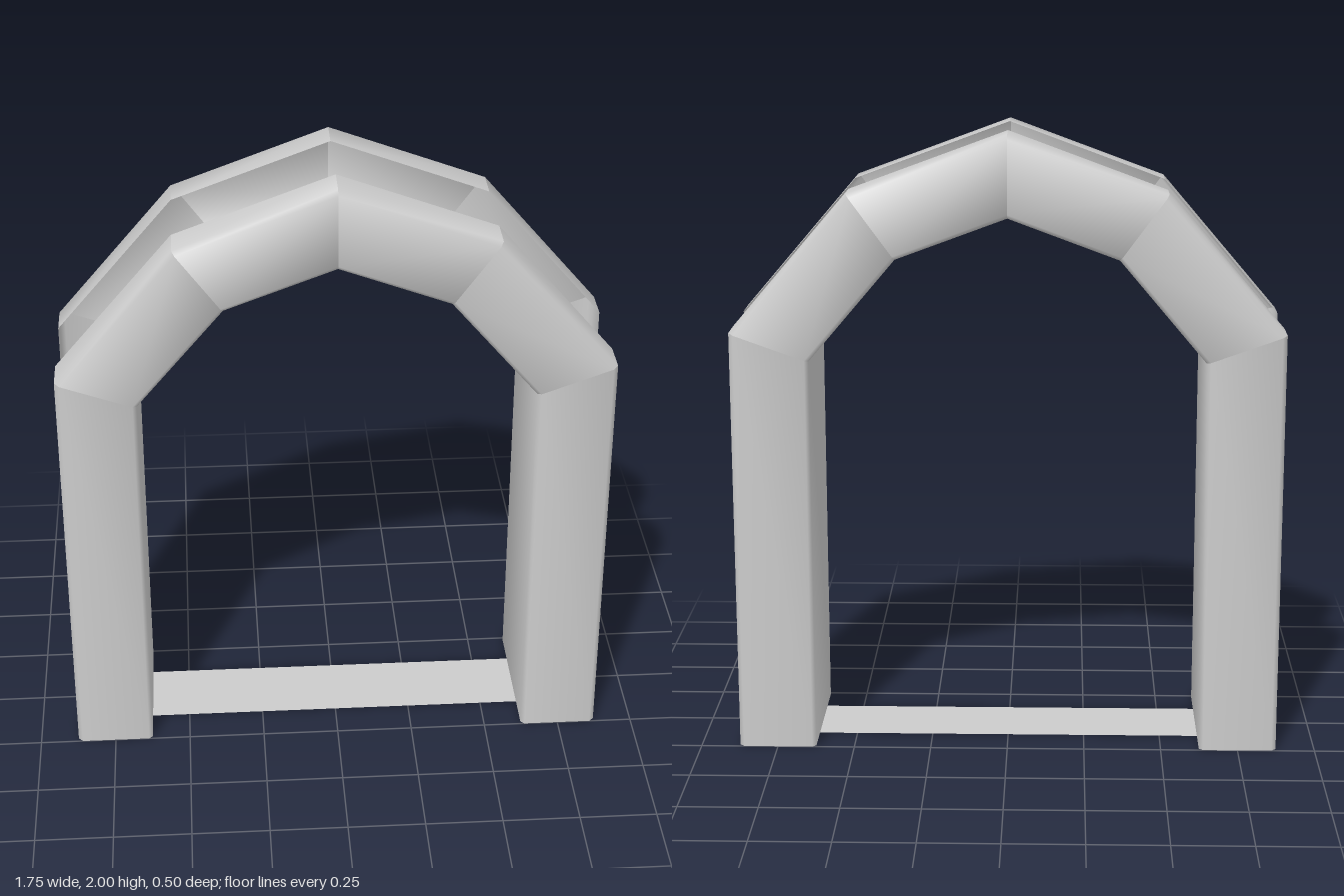
import * as THREE from 'three';
import { mergeGeometries, toCreasedNormals } from 'three/addons/utils/BufferGeometryUtils.js';

// Matching bends of the outer and inner outline, left foot to right foot
const mirror = (half) => [...half, ...half.slice(0, -1).reverse().map(([x, y]) => [-x, y])];
const OUTER = mirror([[0.875, 0], [0.875, 1.375], [0.5, 1.815], [0, 2]]);
const INNER = mirror([[0.625, 0], [0.625, 1.285], [0.35, 1.61], [0, 1.74]]);

// Channel section: t runs from outer (0) to inner (1) outline, paired with z
const HALF = [[0, 0.125], [0, 0.235], [0.06, 0.25], [0.95, 0.25], [1, 0.238]];
const SECTION = [...HALF, ...HALF.slice().reverse().map(([t, z]) => [t, -z])];

// One straight length of channel between bends i and i + 1
function channelSegment(i) {
  const point = (k, [t, z]) => [
    THREE.MathUtils.lerp(OUTER[k][0], INNER[k][0], t),
    THREE.MathUtils.lerp(OUTER[k][1], INNER[k][1], t),
    z,
  ];
  const positions = [];
  for (let j = 0; j < SECTION.length - 1; j++) {
    const a = point(i, SECTION[j]), b = point(i + 1, SECTION[j]);
    const c = point(i + 1, SECTION[j + 1]), d = point(i, SECTION[j + 1]);
    positions.push(...a, ...c, ...b, ...a, ...d, ...c);
  }
  const geometry = new THREE.BufferGeometry();
  geometry.setAttribute('position', new THREE.Float32BufferAttribute(positions, 3));
  // Soft bevels along the length, sharp bends between segments
  return toCreasedNormals(geometry, THREE.MathUtils.degToRad(60));
}

export function createModel() {
  const group = new THREE.Group();
  group.name = 'archway';
  const material = new THREE.MeshStandardMaterial({ color: 0xcccccc, side: THREE.DoubleSide });

  // Hollow frame, open along its outer groove and at the feet
  const segments = [];
  for (let i = 0; i < OUTER.length - 1; i++) segments.push(channelSegment(i));
  const frame = new THREE.Mesh(mergeGeometries(segments), material);
  frame.name = 'archFrame';
  group.add(frame);

  // Thin threshold strip joining the feet
  const threshold = new THREE.Mesh(new THREE.PlaneGeometry(1.25, 0.25).rotateX(-Math.PI / 2), material);
  threshold.name = 'threshold';
  group.add(threshold);

  return group;
}
